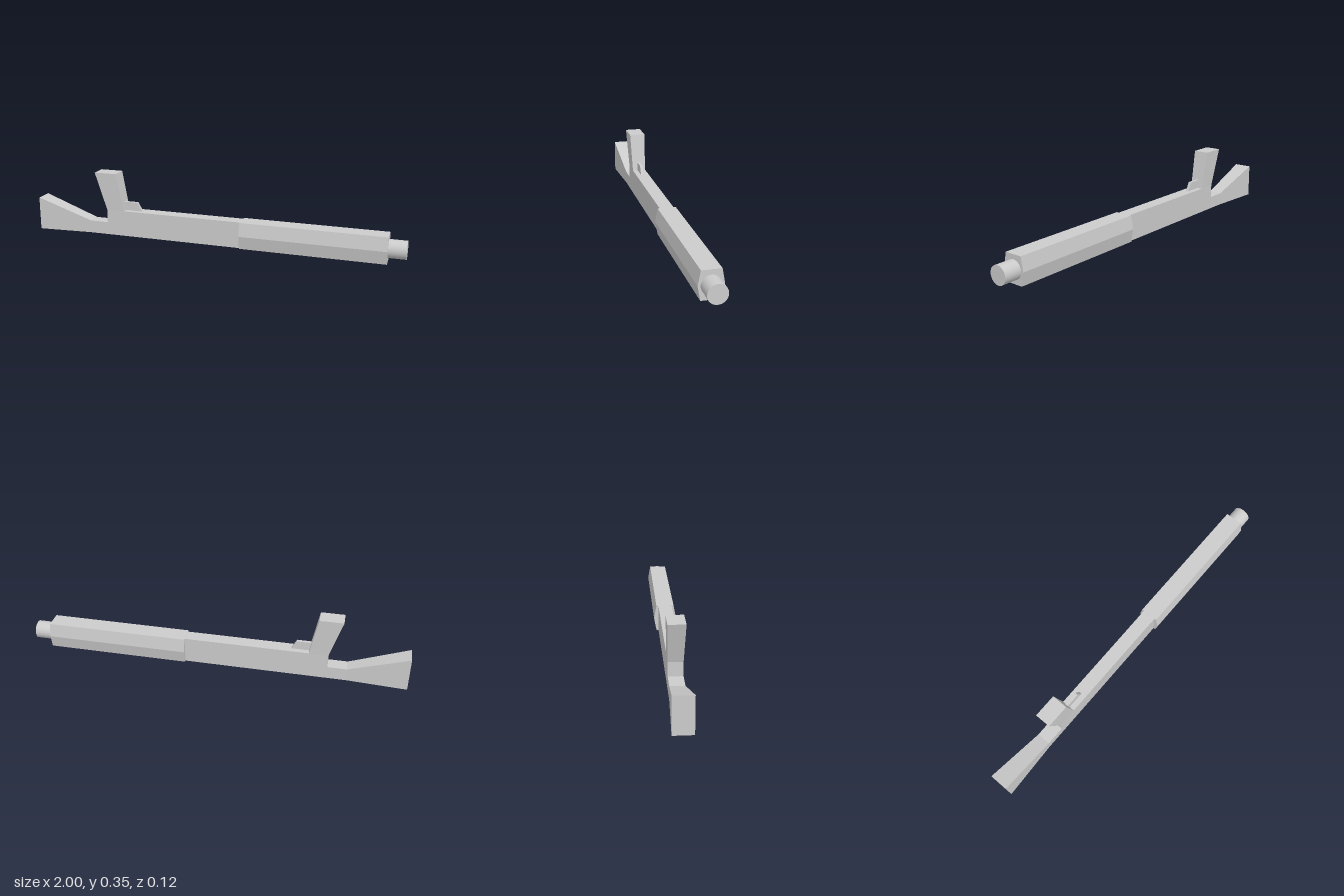
import * as THREE from 'three';

const material = new THREE.MeshStandardMaterial({ color: 0xcccccc });

function part(name, geometry) {
  const mesh = new THREE.Mesh(geometry, material);
  mesh.name = name;
  return mesh;
}

const outline = (points) => new THREE.Shape(points.map(([x, y]) => new THREE.Vector2(x, y)));

// Side outline extruded across z; halfWidth(x, y) sets the thickness at each corner
function slab(name, points, halfWidth) {
  const geo = new THREE.ExtrudeGeometry(outline(points), { depth: 2, bevelEnabled: false });
  geo.translate(0, 0, -1);
  const p = geo.attributes.position;
  for (let i = 0; i < p.count; i++) p.setZ(i, p.getZ(i) * halfWidth(p.getX(i), p.getY(i)));
  geo.computeVertexNormals();
  return part(name, geo);
}

export function createModel() {
  const group = new THREE.Group();
  group.name = 'longArm';
  const bodyHalf = 0.036;
  const { mapLinear } = THREE.MathUtils;

  // Main body with the step behind the grip
  group.add(slab('body', [
    [-0.69, 0.004], [0.16, 0.004], [0.16, 0.143], [-0.59, 0.143], [-0.59, 0.072], [-0.69, 0.072],
  ], () => bodyHalf));

  // Flared shoulder stock
  group.add(slab('stock', [
    [-1, 0], [-0.69, 0.004], [-0.69, 0.072], [-1, 0.18],
  ], (x) => mapLinear(x, -0.69, -1, bodyHalf, 0.048)));

  // Slanted grip, slightly wider at its free end
  group.add(slab('grip', [
    [-0.59, 0.143], [-0.49, 0.143], [-0.53, 0.347], [-0.653, 0.347],
  ], (x, y) => mapLinear(y, 0.143, 0.347, bodyHalf, 0.042)));

  // Small trigger piece
  group.add(slab('trigger', [
    [-0.5, 0.143], [-0.398, 0.143], [-0.423, 0.189], [-0.5, 0.189],
  ], () => 0.008));

  // Six-sided fore-end
  const hexagon = outline([
    [-0.047, 0.004], [0.047, 0.004], [0.06, 0.073], [0.047, 0.144], [-0.047, 0.144], [-0.06, 0.073],
  ]);
  const foreEnd = new THREE.ExtrudeGeometry(hexagon, { depth: 0.75, bevelEnabled: false });
  foreEnd.rotateY(Math.PI / 2).translate(0.16, 0, 0);
  group.add(part('foreEnd', foreEnd));

  // Round barrel end
  const barrel = new THREE.CylinderGeometry(0.047, 0.047, 0.1, 32);
  barrel.rotateZ(-Math.PI / 2).translate(0.95, 0.073, 0);
  group.add(part('barrel', barrel));

  return group;
}
